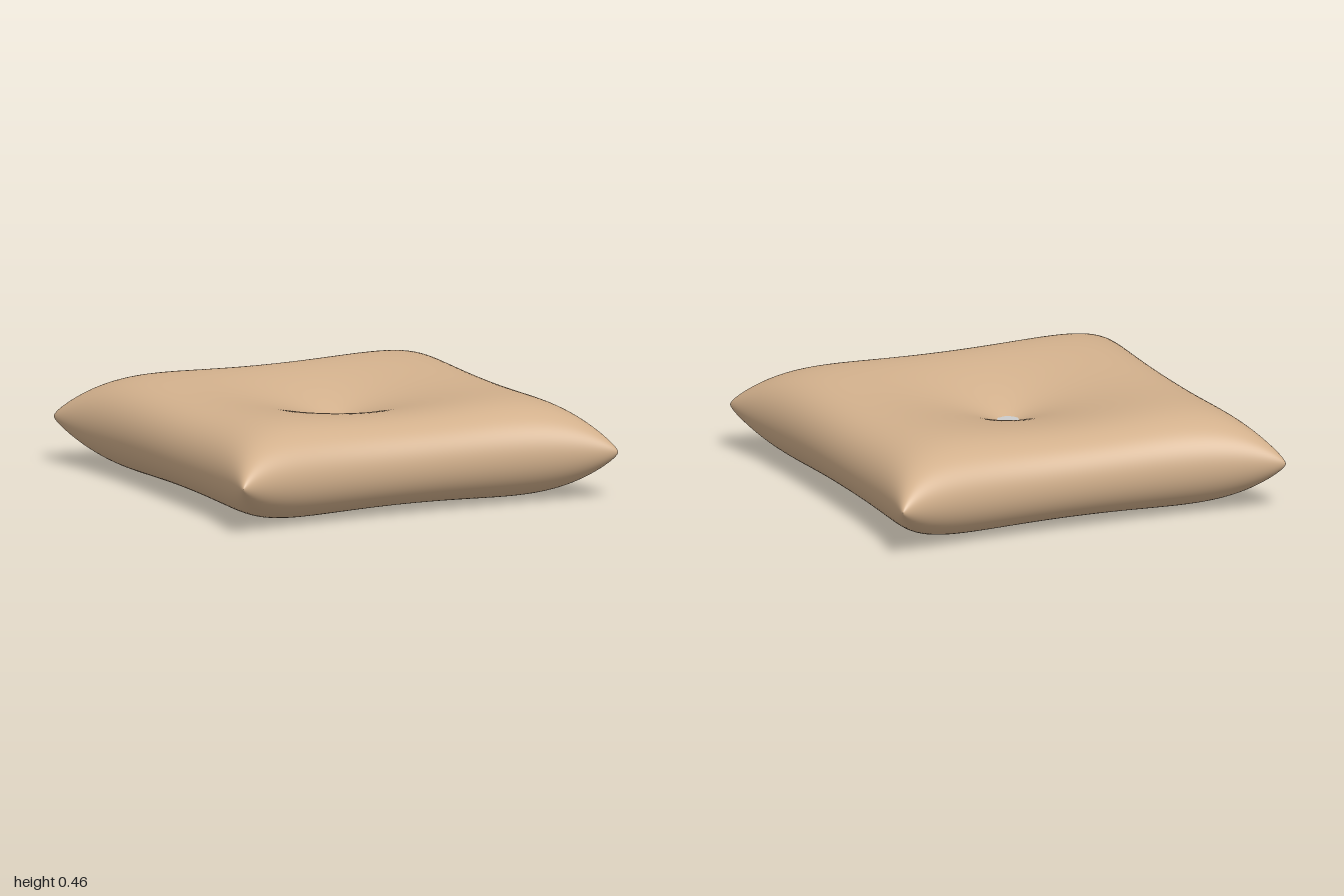
import * as THREE from 'three';
import { mergeGeometries, mergeVertices } from 'three/addons/utils/BufferGeometryUtils.js';

const MID = 0.236;   // height of the seam
const LOFT = 0.258;  // half thickness before the tuft pulls it in

// Seam line: edges bow inwards between the corners
const edge = (t) => 0.925 + 0.075 * Math.abs(t) ** 3;
// Puffed profile across the cushion
const puff = (t) => Math.sqrt(Math.max(0, 1 - t ** 6));
// Tufted dimple, steepest beside the button
const dimple = (r) => 0.82 * Math.exp(-r / 0.42 - (r / 0.9) ** 4);

// One half of the cushion; side is 1 for the top, -1 for the underside
function cushionHalf(side) {
  const geo = new THREE.PlaneGeometry(2, 2, 88, 88).rotateX(-side * Math.PI / 2);
  const p = geo.attributes.position;
  for (let i = 0; i < p.count; i++) {
    // closer rows towards the seam
    const u = Math.sin(p.getX(i) * Math.PI / 2);
    const v = Math.sin(p.getZ(i) * Math.PI / 2);
    const corner = 1 - 0.012 * Math.abs(u * v) ** 40;
    const x = u * edge(v) * corner;
    const z = v * edge(u) * corner;
    const h = LOFT * puff(u) * puff(v) * (1 - dimple(Math.hypot(x, z)));
    p.setXYZ(i, x, MID + side * h, z);
  }
  geo.deleteAttribute('uv');
  geo.deleteAttribute('normal');
  return geo;
}

export function createModel() {
  const model = new THREE.Group();
  model.name = 'cushion';

  // Pillow body, welded along the seam
  const body = mergeVertices(mergeGeometries([cushionHalf(1), cushionHalf(-1)]), 1e-5);
  body.computeVertexNormals();
  const fabric = new THREE.MeshStandardMaterial({ color: 0xd2b08c });
  const pillow = new THREE.Mesh(body, fabric);
  pillow.name = 'pillow';
  model.add(pillow);

  // Tuft buttons on both faces
  const grey = new THREE.MeshStandardMaterial({ color: 0xcccccc });
  for (const [name, side] of [['topButton', 1], ['bottomButton', -1]]) {
    const button = new THREE.Mesh(new THREE.CylinderGeometry(0.057, 0.057, 0.04, 8), grey);
    button.name = name;
    button.position.y = MID + side * 0.052;
    button.rotation.y = Math.PI / 8;
    model.add(button);
  }
  return model;
}
